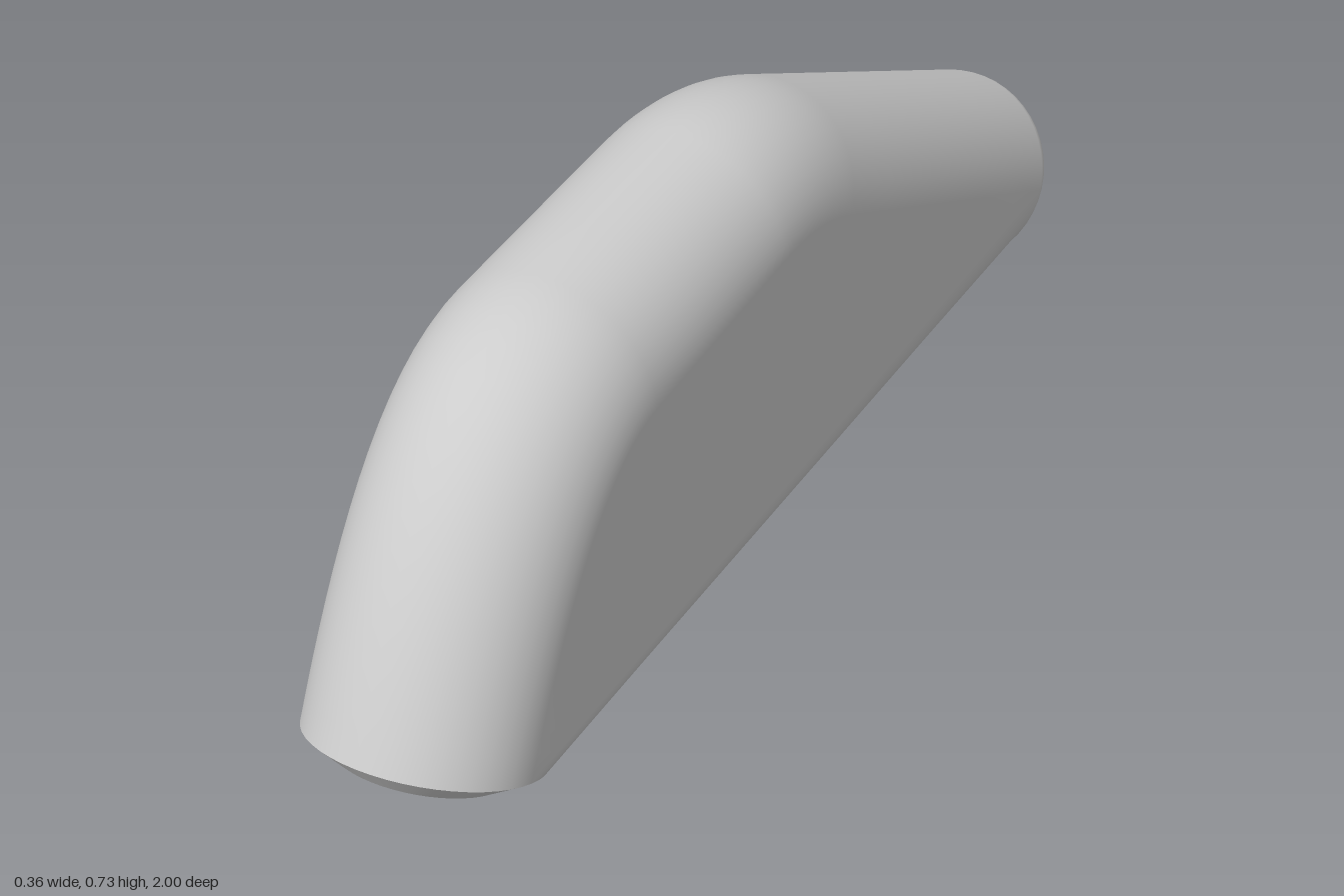
import * as THREE from 'three';
import { mergeVertices } from 'three/addons/utils/BufferGeometryUtils.js';

const W = 0.178; // half width, also the rounding radius
const H = 24; // segments per half round
const v = (z, y) => new THREE.Vector2(z, y); // side profile points are (z, y)

// One cross-section: upper arch around ct peaking at t, lower arch around cb ending at b
const section = (t, ct, cb, b, w = W) => ({ t, ct, cb, b, w });
const disc = (c, up, r) => section(c.clone().addScaledVector(up, r), c, c, c.clone().addScaledVector(up, -r), r);

// Skin over a row of sections running from front to back
function loft(sections) {
  const pos = [], idx = [], n = 2 * (H + 1);
  for (const s of sections) {
    for (const [c, tip, sign] of [[s.ct, s.t, 1], [s.cb, s.b, -1]]) {
      for (let i = 0; i <= H; i++) {
        const a = (Math.PI * i) / H;
        const p = c.clone().lerp(tip, Math.sin(a));
        pos.push(sign * s.w * Math.cos(a), p.y, p.x);
      }
    }
  }
  for (let j = 0; j < sections.length - 1; j++) {
    for (let i = 0; i < n; i++) {
      const k = (i + 1) % n, a = j * n + i, b = j * n + k;
      idx.push(a, a + n, b, b, a + n, b + n);
    }
  }
  const g = new THREE.BufferGeometry();
  g.setAttribute('position', new THREE.Float32BufferAttribute(pos, 3));
  g.setIndex(idx);
  const merged = mergeVertices(g, 1e-5);
  merged.computeVertexNormals();
  return merged;
}

export function createModel() {
  const group = new THREE.Group();
  group.name = 'roundedBody';
  const material = new THREE.MeshStandardMaterial({ color: 0xcccccc });
  const add = (name, sections) => {
    const mesh = new THREE.Mesh(loft(sections), material);
    mesh.name = name;
    group.add(mesh);
  };

  // Top outline from the front rim over the crown to the tail
  const outline = [
    [new THREE.CubicBezierCurve(v(1, 0.155), v(0.87, 0.44), v(0.72, 0.652), v(0.5, 0.676)), 16],
    [new THREE.LineCurve(v(0.5, 0.676), v(0.12, 0.717)), 3],
    [new THREE.QuadraticBezierCurve(v(0.12, 0.717), v(-0.043, 0.736), v(-0.19, 0.668)), 10],
    [new THREE.LineCurve(v(-0.19, 0.668), v(-0.959, 0.325)), 6],
  ];
  const total = outline.reduce((sum, [c]) => sum + c.getLength(), 0);
  const tops = [];
  let run = 0;
  outline.forEach(([curve, steps], k) => {
    for (let i = k ? 1 : 0; i <= steps; i++) {
      const t = curve.getPointAt(i / steps), dir = curve.getTangentAt(i / steps);
      const up = v(dir.y, -dir.x);
      tops.push({ t, dir, up, c: t.clone().addScaledVector(up, -W), f: (run + (curve.getLength() * i) / steps) / total });
    }
    run += curve.getLength();
  });
  const first = tops[0], last = tops[tops.length - 1];

  // Main body: the lower arch runs straight from the front rim to the tail
  const b0 = v(0.676, 0), b1 = last.c.clone().addScaledVector(last.up, -W);
  const body = tops.map(({ t, c, f }) =>
    section(t, c, first.c.clone().lerp(last.c, f), b0.clone().lerp(b1, f)));

  // Tail: rounded edge closing to a flat disc
  const fillet = 0.07;
  for (let i = 1; i <= 8; i++) {
    const a = (Math.PI / 2) * (i / 8);
    const c = last.c.clone().addScaledVector(last.dir, fillet * Math.sin(a));
    body.push(disc(c, last.up, W - fillet * (1 - Math.cos(a))));
  }
  const tailEnd = last.c.clone().addScaledVector(last.dir, fillet);
  body.push(disc(tailEnd, last.up, 0.1), disc(tailEnd, last.up, 0));
  add('body', body);

  // Front opening: crisp chamfer and flat face
  const faceCentre = first.c.clone().addScaledVector(first.dir, -0.031);
  const face = disc(faceCentre, first.up, 0.127);
  add('frontChamfer', [face, body[0]]);
  add('frontFace', [disc(faceCentre, first.up, 0), face]);

  return group;
}
